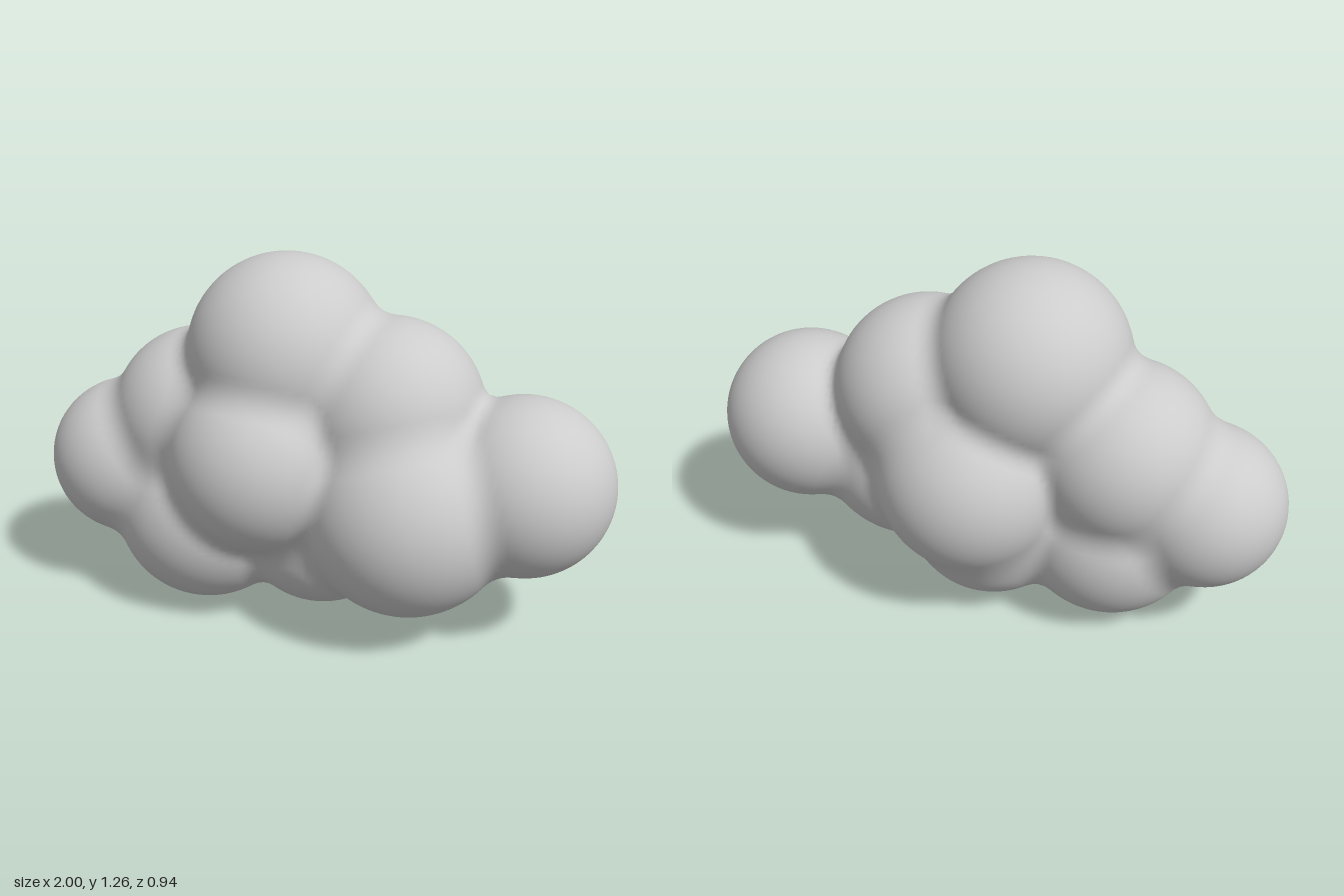
import * as THREE from 'three';

// Puffs of the cloud: centre x, y, z and radius
const PUFFS = [
  [-0.72, 0.48, 0.02, 0.28],   // right end
  [0.70, 0.56, -0.005, 0.30],  // left end
  [-0.12, 0.93, 0.00, 0.335],  // top
  [0.24, 0.76, -0.005, 0.32],  // upper left
  [0.34, 0.465, 0.10, 0.355],  // lower left, forward
  [-0.155, 0.60, 0.15, 0.32],  // front middle
  [0.035, 0.535, -0.14, 0.33], // back middle
  [-0.41, 0.335, 0.03, 0.33],  // lower right
  [0.00, 0.335, -0.03, 0.31],  // bottom middle
  [-0.45, 0.66, -0.02, 0.31],  // upper right
];
const BLEND = 0.06;

// Signed distance to the puffs, softly joined where they meet
function field(x, y, z) {
  let d = Infinity;
  for (const [cx, cy, cz, r] of PUFFS) {
    const s = Math.hypot(x - cx, y - cy, z - cz) - r;
    const h = Math.max(BLEND - Math.abs(d - s), 0) / BLEND;
    d = Math.min(d, s) - h * h * BLEND / 4;
  }
  return d;
}

function gradient([x, y, z]) {
  const e = 0.002;
  return new THREE.Vector3(
    field(x + e, y, z) - field(x - e, y, z),
    field(x, y + e, z) - field(x, y - e, z),
    field(x, y, z + e) - field(x, y, z - e),
  ).normalize();
}

// Closed quad skin over the zero level of the field
function skinGeometry() {
  const step = 0.022;
  const low = [-1.06, -0.06, -0.56];
  const size = [2.12, 1.40, 1.12].map((s) => Math.ceil(s / step) + 1);
  const stride = [1, size[0], size[0] * size[1]];
  const at = (c) => c[0] + c[1] * stride[1] + c[2] * stride[2];
  const place = (c) => c.map((n, a) => low[a] + n * step);

  const eachCell = (visit) => {
    for (let k = 0; k < size[2] - 1; k++)
      for (let j = 0; j < size[1] - 1; j++)
        for (let i = 0; i < size[0] - 1; i++) visit([i, j, k]);
  };

  const values = new Float32Array(size[0] * size[1] * size[2]);
  for (let k = 0; k < size[2]; k++)
    for (let j = 0; j < size[1]; j++)
      for (let i = 0; i < size[0]; i++) values[at([i, j, k])] = field(...place([i, j, k]));

  // One point per crossed cell: mean of its edge crossings, pulled to the surface
  const positions = [], normals = [], indices = [];
  const pointOf = new Int32Array(values.length).fill(-1);
  eachCell((cell) => {
    const sum = [0, 0, 0];
    let count = 0;
    for (let axis = 0; axis < 3; axis++) {
      const u = (axis + 1) % 3, v = (axis + 2) % 3;
      for (let q = 0; q < 4; q++) {
        const c = cell.slice();
        c[u] += q & 1;
        c[v] += q >> 1;
        const a = values[at(c)], b = values[at(c) + stride[axis]];
        if ((a < 0) === (b < 0)) continue;
        c[axis] += a / (a - b);
        place(c).forEach((n, m) => { sum[m] += n; });
        count++;
      }
    }
    if (!count) return;
    let p = sum.map((n) => n / count);
    for (let pass = 0; pass < 2; pass++) {
      const d = field(...p), g = gradient(p);
      p = [p[0] - g.x * d, p[1] - g.y * d, p[2] - g.z * d];
    }
    pointOf[at(cell)] = positions.length / 3;
    positions.push(...p);
    normals.push(...gradient(p).toArray());
  });

  // One quad around every crossed grid edge, facing outward
  eachCell((cell) => {
    const c = at(cell);
    for (let axis = 0; axis < 3; axis++) {
      const inside = values[c] < 0;
      if (inside === (values[c + stride[axis]] < 0)) continue;
      const u = stride[(axis + 1) % 3], v = stride[(axis + 2) % 3];
      const quad = [c - u - v, c - v, c, c - u].map((n) => pointOf[n]);
      if (!inside) quad.reverse();
      indices.push(quad[0], quad[1], quad[2], quad[0], quad[2], quad[3]);
    }
  });

  const geometry = new THREE.BufferGeometry();
  geometry.setAttribute('position', new THREE.Float32BufferAttribute(positions, 3));
  geometry.setAttribute('normal', new THREE.Float32BufferAttribute(normals, 3));
  geometry.setIndex(indices);
  return geometry;
}

export function createModel() {
  const paleGrey = new THREE.MeshStandardMaterial({ color: 0xcccccc });
  paleGrey.name = 'pale grey';

  const cloud = new THREE.Mesh(skinGeometry(), paleGrey);
  cloud.name = 'cloudBody';

  const group = new THREE.Group();
  group.name = 'cloud';
  group.add(cloud);
  return group;
}
